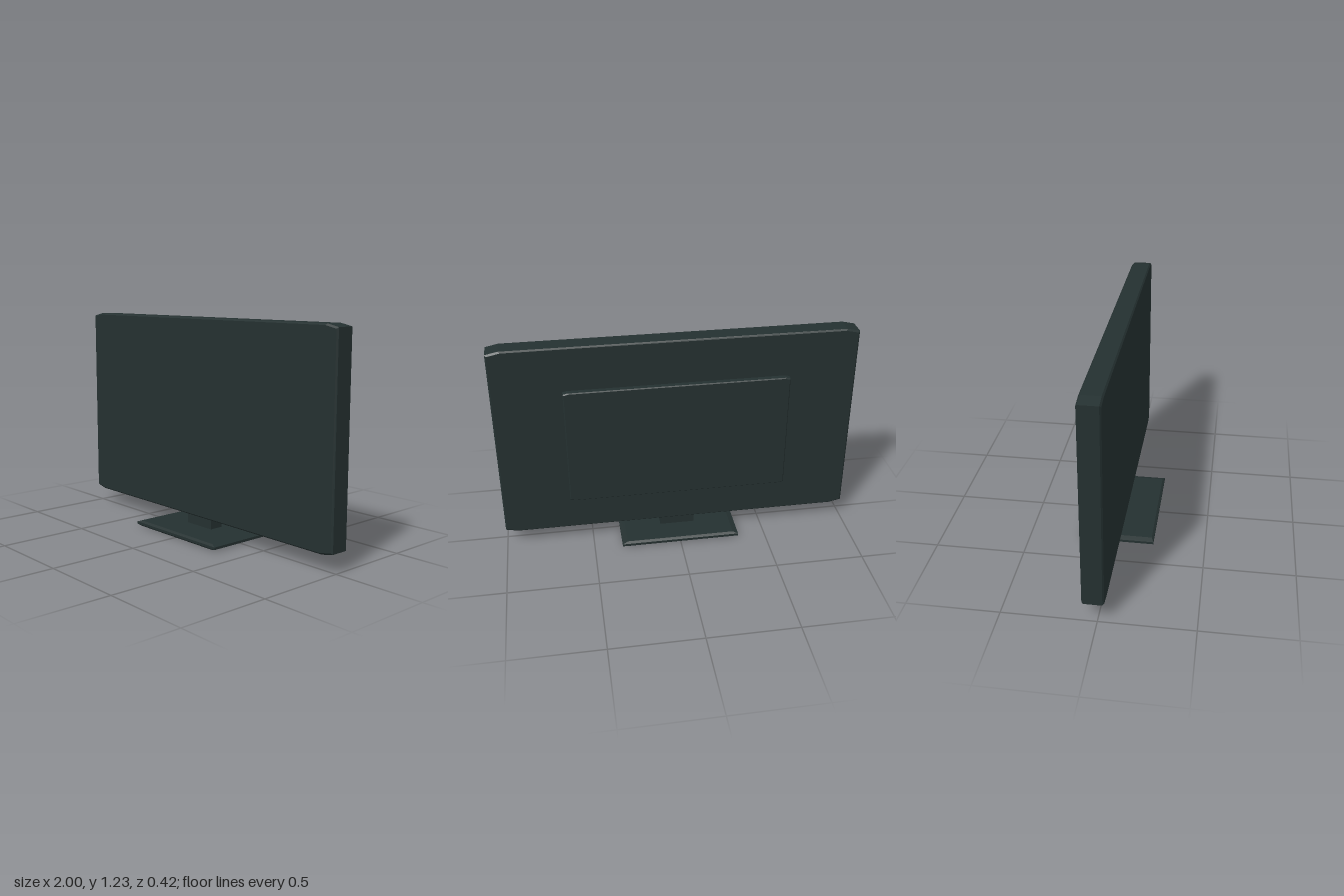
import * as THREE from 'three';
import { ConvexGeometry } from 'three/addons/geometries/ConvexGeometry.js';

const charcoal = new THREE.MeshStandardMaterial({ color: 0x243030 });
charcoal.name = 'charcoal';

function add(group, name, geometry, x, y, z) {
  const mesh = new THREE.Mesh(geometry, charcoal);
  mesh.name = name;
  mesh.position.set(x, y, z);
  group.add(mesh);
}

// Upright panel with cut corners (cx by cy) and a small bevel b round both faces
function panel(w, h, d, cx, cy, b) {
  const points = [];
  for (const [z, inset] of [[d / 2, b], [d / 2 - b, 0], [b - d / 2, 0], [-d / 2, b]]) {
    const X = w / 2 - inset, Y = h / 2 - inset;
    for (const sx of [-1, 1]) for (const sy of [-1, 1]) {
      points.push(new THREE.Vector3(sx * X, sy * (Y - cy), z));
      points.push(new THREE.Vector3(sx * (X - cx), sy * Y, z));
    }
  }
  return new ConvexGeometry(points);
}

// Flat slab whose rim slopes in towards its top and bottom
function slab(w, h, d, bx, by, bz) {
  const points = [];
  for (const [y, k] of [[-h / 2, 1], [by - h / 2, 0], [h / 2 - by, 0], [h / 2, 1]])
    for (const sx of [-1, 1]) for (const sz of [-1, 1])
      points.push(new THREE.Vector3(sx * (w / 2 - k * bx), y, sz * (d / 2 - k * bz)));
  return new ConvexGeometry(points);
}

export function createModel() {
  const group = new THREE.Group();
  group.name = 'flatScreen';

  add(group, 'screen', panel(2, 1.14, 0.115, 0.07, 0.015, 0.008), 0, 0.66, -0.0225);
  add(group, 'backPanel', panel(1.24, 0.686, 0.05, 0.025, 0.006, 0.005), 0, 0.637, -0.089);
  add(group, 'neck', new THREE.BoxGeometry(0.2, 0.09, 0.08), 0, 0.067, -0.02);
  add(group, 'base', slab(0.68, 0.034, 0.42, 0.03, 0.01, 0.012), 0, 0.017, 0);
  return group;
}
